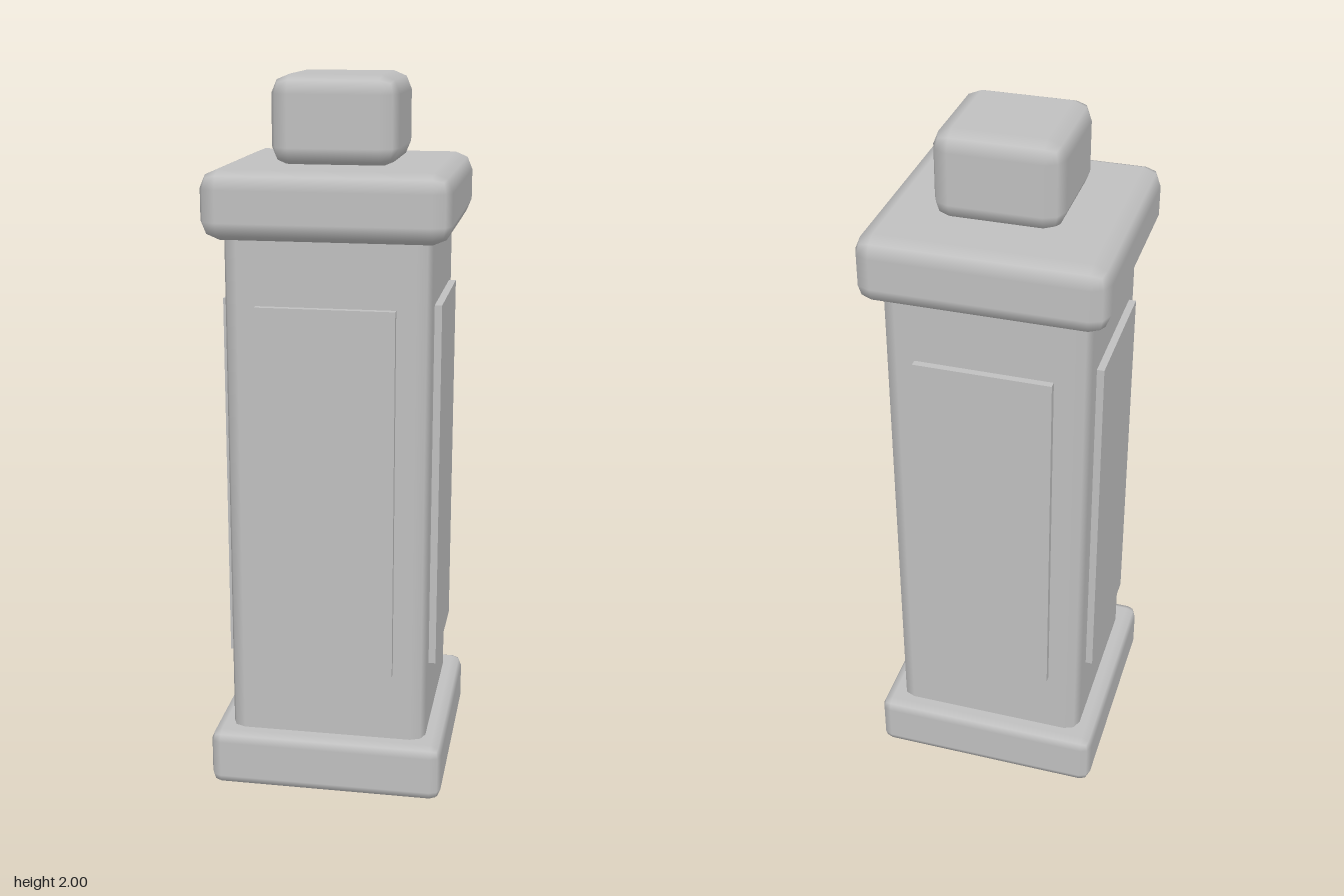
import * as THREE from 'three';
import { RoundedBoxGeometry } from 'three/addons/geometries/RoundedBoxGeometry.js';

export function createModel() {
  const model = new THREE.Group();
  model.name = 'pillar';
  const stone = new THREE.MeshStandardMaterial({ name: 'paleGreyStone', color: 0xc0c0c0 });

  // square block with softly bevelled edges, from height y0 to y1
  function block(name, width, y0, y1, bevel) {
    const mesh = new THREE.Mesh(new RoundedBoxGeometry(width, y1 - y0, width, 1, bevel), stone);
    mesh.name = name;
    mesh.position.y = (y0 + y1) / 2;
    model.add(mesh);
  }

  block('base', 0.665, 0, 0.165, 0.03);
  block('shaft', 0.56, 0.12, 1.63, 0.04); // ends sunk into base and cap
  block('cap', 0.665, 1.58, 1.765, 0.05);
  block('finial', 0.345, 1.76, 2, 0.05);

  // raised panel on each of the four sides
  const panelGeometry = new THREE.BoxGeometry(0.378, 1.04, 0.04);
  panelGeometry.translate(0, 0.885, 0.28);
  ['front', 'left', 'back', 'right'].forEach((side, i) => {
    const panel = new THREE.Mesh(panelGeometry, stone);
    panel.name = side + 'Panel';
    panel.rotation.y = (i * Math.PI) / 2;
    model.add(panel);
  });

  return model;
}
